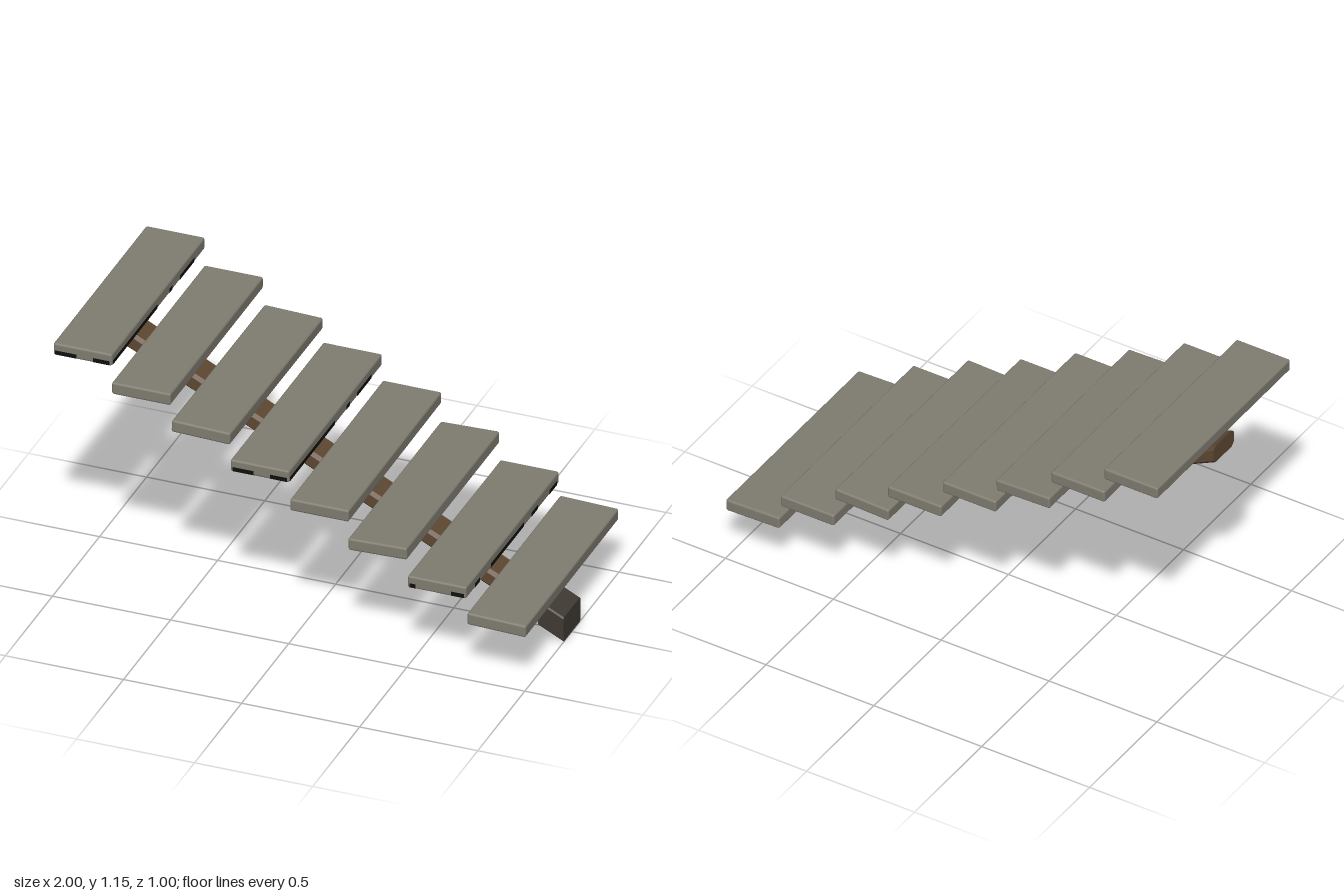
import * as THREE from 'three';
import { RoundedBoxGeometry } from 'three/addons/geometries/RoundedBoxGeometry.js';

const mat = (name, color) => {
  const m = new THREE.MeshStandardMaterial({ color });
  m.name = name;
  return m;
};

// Chamfered bar running along x from x0 to x1, sheared to the pitch of the stair
function pitchedBar(x0, x1, halfZ, height, chamfer, yAtZero, slope) {
  const h = height / 2, c = chamfer;
  const s = new THREE.Shape([
    [-halfZ + c, -h], [halfZ - c, -h], [halfZ, -h + c], [halfZ, h - c],
    [halfZ - c, h], [-halfZ + c, h], [-halfZ, h - c], [-halfZ, -h + c],
  ].map(([a, b]) => new THREE.Vector2(a, b)));
  const g = new THREE.ExtrudeGeometry(s, { depth: x1 - x0, bevelEnabled: false });
  g.rotateY(Math.PI / 2).translate(x0, yAtZero, 0);
  const p = g.attributes.position;
  for (let i = 0; i < p.count; i++) p.setY(i, p.getY(i) + slope * p.getX(i));
  g.computeVertexNormals();
  return g;
}

export function createModel() {
  const root = new THREE.Group();
  root.name = 'openStair';
  const stone = mat('weathered grey', 0x7f7c70);
  const wood = mat('brown wood', 0x5e4732);
  const iron = mat('dark iron', 0x413a34);
  const shade = mat('black stain', 0x10100e);

  const add = (parent, name, geo, material, x = 0, y = 0, z = 0) => {
    const m = new THREE.Mesh(geo, material);
    m.name = name;
    m.position.set(x, y, z);
    parent.add(m);
    return m;
  };

  // Central sloping beam and its foot
  add(root, 'beam', pitchedBar(-0.998, 0.92, 0.075, 0.08, 0.015, 0.546, -0.495), wood);
  add(root, 'beamFoot', pitchedBar(0.893, 1, 0.09, 0.11, 0.006, 0.555, -0.5), iron);

  // Bracket: flat trapezoid plate carrying each tread
  const plate = new THREE.Shape([
    [-0.09, -0.09], [0.09, -0.09], [0.33, -0.015], [0.33, 0.008], [-0.33, 0.008], [-0.33, -0.015],
  ].map(([a, b]) => new THREE.Vector2(a, b)));
  const bracketGeo = new THREE.ExtrudeGeometry(plate, { depth: 0.042, bevelEnabled: false });
  bracketGeo.rotateY(Math.PI / 2).translate(-0.021, 0, 0);

  // Treads: [centre y, z shift, tilt about x, tilt about z]
  const treads = [
    [1.124, 0, 0, 0], [1.002, 0.007, 0, 0], [0.873, 0, -0.007, -0.03], [0.755, 0, 0, 0],
    [0.63, -0.005, 0.007, 0], [0.51, 0.005, 0, 0.03], [0.385, 0, -0.006, 0], [0.267, -0.005, 0.002, -0.03],
  ];
  const treadGeo = new RoundedBoxGeometry(0.249, 0.053, 0.99, 2, 0.009);

  // Stains along the lower edge: spans in z on the long side, in x on the end
  const longA = [[0.01, 0.485], [-0.15, -0.115], [-0.38, -0.23]];
  const longB = [[0.35, 0.4], [-0.12, 0.23], [-0.27, -0.2], [-0.47, -0.39]];
  const endA = [[-0.115, -0.025], [0.045, 0.115]];
  const endB = [[-0.115, -0.09], [0.06, 0.115]];
  const stains = { 0: [longA, endA], 3: [longA, endA], 6: [longB, endB] };

  treads.forEach(([y, dz, rx, rz], i) => {
    const x = -0.875 + i * 0.25;
    add(root, 'bracket', bracketGeo, iron, x, y - 0.027, 0);
    const g = new THREE.Group();
    g.name = 'step';
    g.position.set(x, y, dz);
    g.rotation.set(rx, 0, rz);
    root.add(g);
    add(g, 'tread', treadGeo, stone);
    if (!stains[i]) return;
    const [long, end] = stains[i];
    for (const [a, b] of long)
      add(g, 'sideStain', new THREE.BoxGeometry(0.003, 0.018, b - a), shade, 0.1235, -0.014, (a + b) / 2);
    for (const [a, b] of end)
      add(g, 'endStain', new THREE.BoxGeometry(b - a, 0.018, 0.003), shade, (a + b) / 2, -0.014, 0.4945);
  });
  return root;
}
